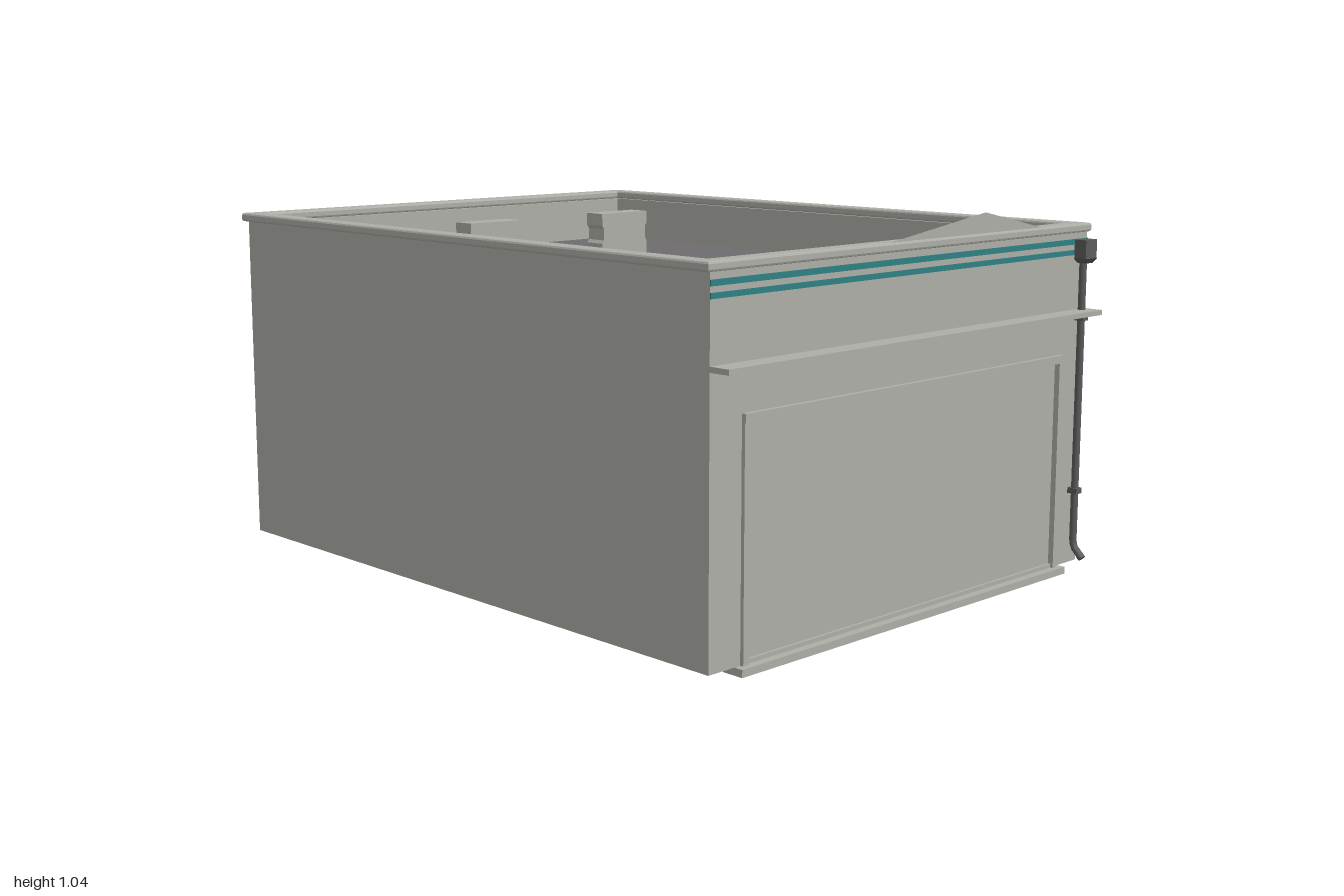
import * as THREE from 'three';

const mat = (name, color, side = THREE.FrontSide) => {
  const m = new THREE.MeshStandardMaterial({ color, side });
  m.name = name;
  return m;
};

export function createModel() {
  const group = new THREE.Group();
  group.name = 'shopBuilding';
  const concrete = mat('concrete', 0xaeaea8);
  const sheet = mat('concreteSheet', 0xaeaea8, THREE.DoubleSide);
  const roofing = mat('roofing', 0x6e6c6e);
  const teal = mat('tealPaint', 0x2f8084);
  const pipeMetal = mat('darkPipe', 0x5c5c5e);

  const add = (name, geometry, material) => {
    const mesh = new THREE.Mesh(geometry, material);
    mesh.name = name;
    group.add(mesh);
    return mesh;
  };
  // box given by its limits on each axis
  const box = (name, material, x0, x1, y0, y1, z0, z1) => {
    const g = new THREE.BoxGeometry(x1 - x0, y1 - y0, z1 - z0);
    g.translate((x0 + x1) / 2, (y0 + y1) / 2, (z0 + z1) / 2);
    return add(name, g, material);
  };
  const rect = (Kind, x0, x1, y0, y1) => {
    const p = new Kind();
    p.moveTo(x0, y0).lineTo(x1, y0).lineTo(x1, y1).lineTo(x0, y1).closePath();
    return p;
  };
  // horizontal rectangular ring, extruded upwards from y
  const ring = (outer, inner, y, options) => {
    const s = rect(THREE.Shape, ...outer);
    s.holes.push(rect(THREE.Path, ...inner));
    return new THREE.ExtrudeGeometry(s, options).rotateX(-Math.PI / 2).translate(0, y, 0);
  };

  const W = 0.748, FRONT = 0.94, BACK = -0.98, BASE = 0.02, TOP = 0.963;

  // shell, open underneath
  for (const s of [-1, 1]) {
    box('sideWall', concrete, Math.min(s * W, s * (W - 0.004)), Math.max(s * W, s * (W - 0.004)), BASE, TOP, BACK, FRONT);
  }
  box('backWall', concrete, -W + 0.004, W - 0.004, BASE, TOP, BACK, BACK + 0.004);
  const facade = rect(THREE.Shape, -W + 0.004, W - 0.004, BASE, TOP);
  facade.holes.push(rect(THREE.Path, -0.63, 0.63, 0.03, 0.612));
  add('frontWall', new THREE.ExtrudeGeometry(facade, { depth: 0.004, bevelEnabled: false }).translate(0, 0, FRONT - 0.004), concrete);

  // sunken roof and parapet
  box('roof', roofing, -W + 0.005, W - 0.005, 0.818, 0.828, BACK + 0.005, FRONT - 0.005);
  add('parapet', ring([-W + 0.005, W - 0.005, -FRONT + 0.005, -BACK - 0.005], [-0.708, 0.708, -0.892, 0.947], 0.828,
    { depth: 0.132, bevelEnabled: false }), concrete);
  add('parapetCap', ring([-0.752, 0.752, -0.939, 0.992], [-0.713, 0.713, -0.897, 0.952], 0.967,
    { depth: 0.013, bevelEnabled: true, bevelSize: 0.007, bevelThickness: 0.006, bevelSegments: 2 }), concrete);

  // low pointed crest on the front edge
  const crest = new THREE.Shape([[-0.12, 0.985], [0.53, 0.985], [0.275, 1.04]].map(p => new THREE.Vector2(...p)));
  add('crest', new THREE.ShapeGeometry(crest).translate(0, 0, FRONT), sheet);

  // painted stripes and ledge
  for (const [y0, y1] of [[0.9, 0.914], [0.929, 0.944]]) {
    box('stripe', teal, -W, W, y0, y1, FRONT, FRONT + 0.003);
  }
  box('ledge', concrete, -W, W - 0.003, 0.733, 0.747, FRONT, 1);

  // wide door with frame and sill
  box('door', concrete, -0.632, 0.632, 0.02, 0.615, 0.928, 0.934);
  for (const s of [-1, 1]) {
    box('doorJamb', concrete, s * 0.632 - 0.009, s * 0.632 + 0.009, BASE, 0.605, 0.93, 0.95);
  }
  box('doorHeader', concrete, -0.641, 0.641, 0.604, 0.626, 0.93, 0.953);
  box('doorTrack', concrete, -0.623, 0.623, BASE, 0.031, 0.93, 0.942);
  box('doorSill', concrete, -0.66, 0.66, 0, BASE, 0.903, 0.965);

  // drain pipe with hopper, brackets and outlet
  const px = 0.71, pz = 0.956;
  box('rainHopper', pipeMetal, 0.685, 0.738, 0.892, 0.943, 0.943, 0.98);
  const funnel = new THREE.CylinderGeometry(0.034, 0.02, 0.014, 4, 1).rotateY(Math.PI / 4);
  add('hopperFunnel', funnel.translate(0.711, 0.885, 0.961), pipeMetal);
  const path = new THREE.CurvePath();
  const pts = [[0.89, pz], [0.085, pz], [0.068, 0.96], [0.045, 0.983]].map(([y, z]) => new THREE.Vector3(px, y, z));
  for (let i = 0; i < 3; i++) path.add(new THREE.LineCurve3(pts[i], pts[i + 1]));
  add('drainPipe', new THREE.TubeGeometry(path, 60, 0.0105, 8), pipeMetal);
  const lip = new THREE.CylinderGeometry(0.011, 0.011, 0.014, 8).rotateX(-Math.PI / 4);
  add('pipeOutlet', lip.translate(px, 0.044, 0.983), pipeMetal);
  for (const y of [0.725, 0.232]) {
    box('pipeBracket', pipeMetal, px - 0.013, px + 0.013, y - 0.008, y + 0.008, FRONT, 0.97);
  }

  // roof vent units, slightly pinched at the ends
  for (const x of [-0.26, 0.253]) {
    const half = [[0.094, 0], [0.094, 0.045], [0.087, 0.055], [0.087, 0.09], [0.094, 0.1], [0.094, 0.137]];
    const outline = [...half, ...half.map(([a, b]) => [-a, b]).reverse()];
    const s = new THREE.Shape(outline.map(p => new THREE.Vector2(...p)));
    const g = new THREE.ExtrudeGeometry(s, { depth: 0.07, bevelEnabled: false });
    add('roofVent', g.translate(x, 0.828, -0.49), concrete);
  }
  return group;
}
